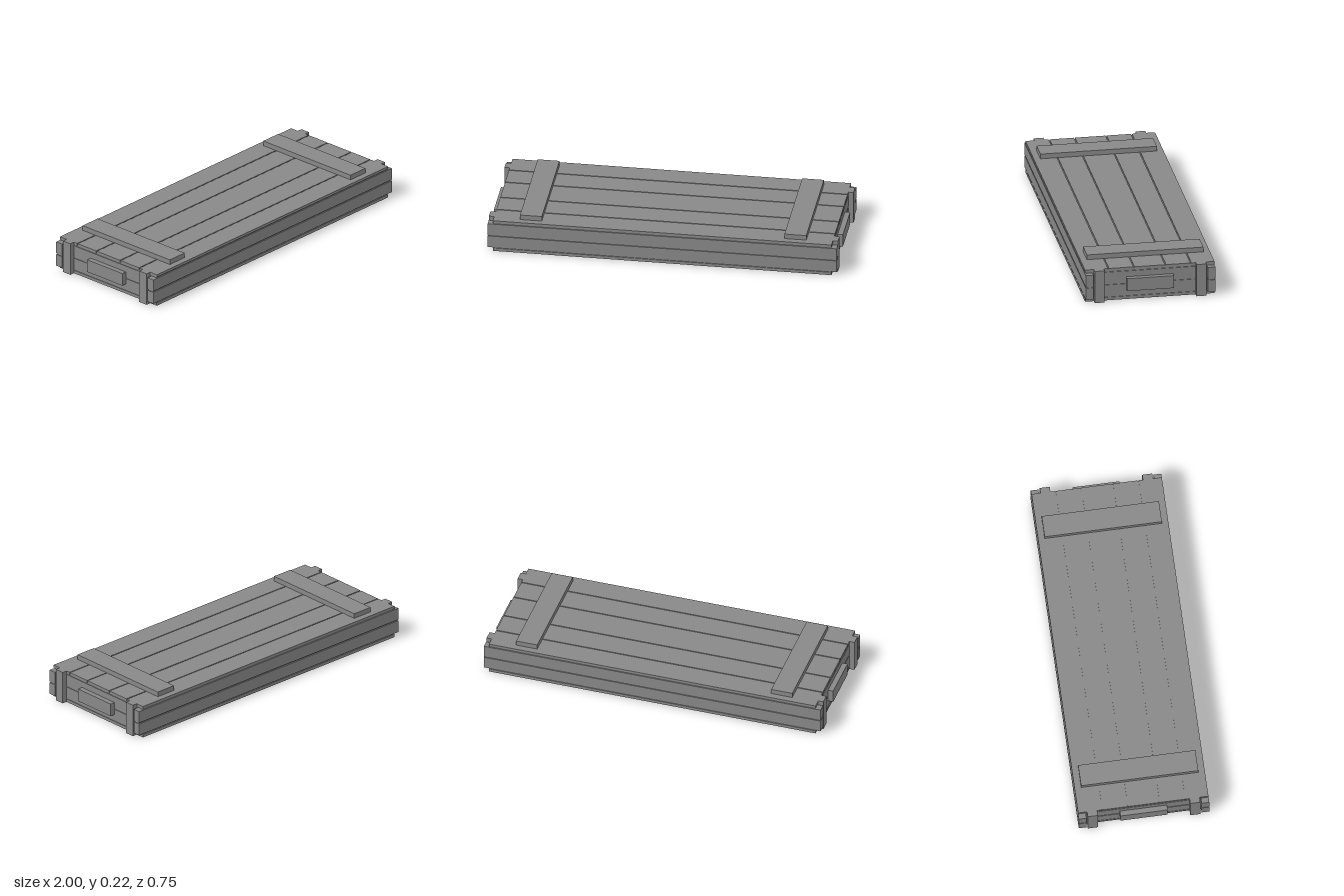
import * as THREE from 'three';

export function createModel() {
  const model = new THREE.Group();
  const wood = new THREE.MeshStandardMaterial({ color: 0x888888, flatShading: true });

  // Box given by its limits on each axis
  function board(name, x0, x1, y0, y1, z0, z1) {
    const mesh = new THREE.Mesh(new THREE.BoxGeometry(x1 - x0, y1 - y0, z1 - z0), wood);
    mesh.name = name;
    mesh.position.set((x0 + x1) / 2, (y0 + y1) / 2, (z0 + z1) / 2);
    model.add(mesh);
  }
  // The same, mirrored when the side is -1
  const endBoard = (name, s, x0, x1, ...rest) =>
    board(name, Math.min(s * x0, s * x1), Math.max(s * x0, s * x1), ...rest);
  const sideBoard = (name, s, x0, x1, y0, y1, z0, z1) =>
    board(name, x0, x1, y0, y1, Math.min(s * z0, s * z1), Math.max(s * z0, s * z1));

  // Solid body seen only in the gaps between planks
  board('core', -0.966, 0.966, 0.01, 0.189, -0.367, 0.367);
  board('bottomBoard', -0.97, 0.97, 0, 0.018, -0.372, 0.372);

  // Lid planks
  const seams = [-0.3755, -0.237, -0.091, 0.091, 0.237, 0.3755];
  for (let i = 0; i < 5; i++) {
    board('lidPlank', -0.97, 0.97, 0.178, 0.194, seams[i] + 0.003, seams[i + 1] - 0.003);
  }

  // Two rows of planks around the walls
  for (const y of [0.023, 0.101]) {
    const top = y + 0.071;
    for (const s of [-1, 1]) {
      sideBoard('sidePlank', s, -1, 1, y, top, 0.329, 0.373);
      endBoard('endPlank', s, 0.94, 0.97, y, top, -0.328, 0.328);
    }
  }

  for (const s of [-1, 1]) {
    // Backing of the seam between the side planks
    sideBoard('sideBacking', s, -0.996, 0.996, 0.03, 0.165, 0.334, 0.367);
    // Corner posts on the ends
    for (const z of [-0.293, 0.293]) {
      endBoard('endPost', s, 0.965, 1, 0, 0.194, z - 0.0285, z + 0.0285);
    }
    endBoard('handleBlock', s, 0.965, 1, 0.06, 0.136, -0.135, 0.135);
    endBoard('lidBatten', s, 0.695, 0.82, 0.194, 0.223, -0.335, 0.335);
  }
  return model;
}
